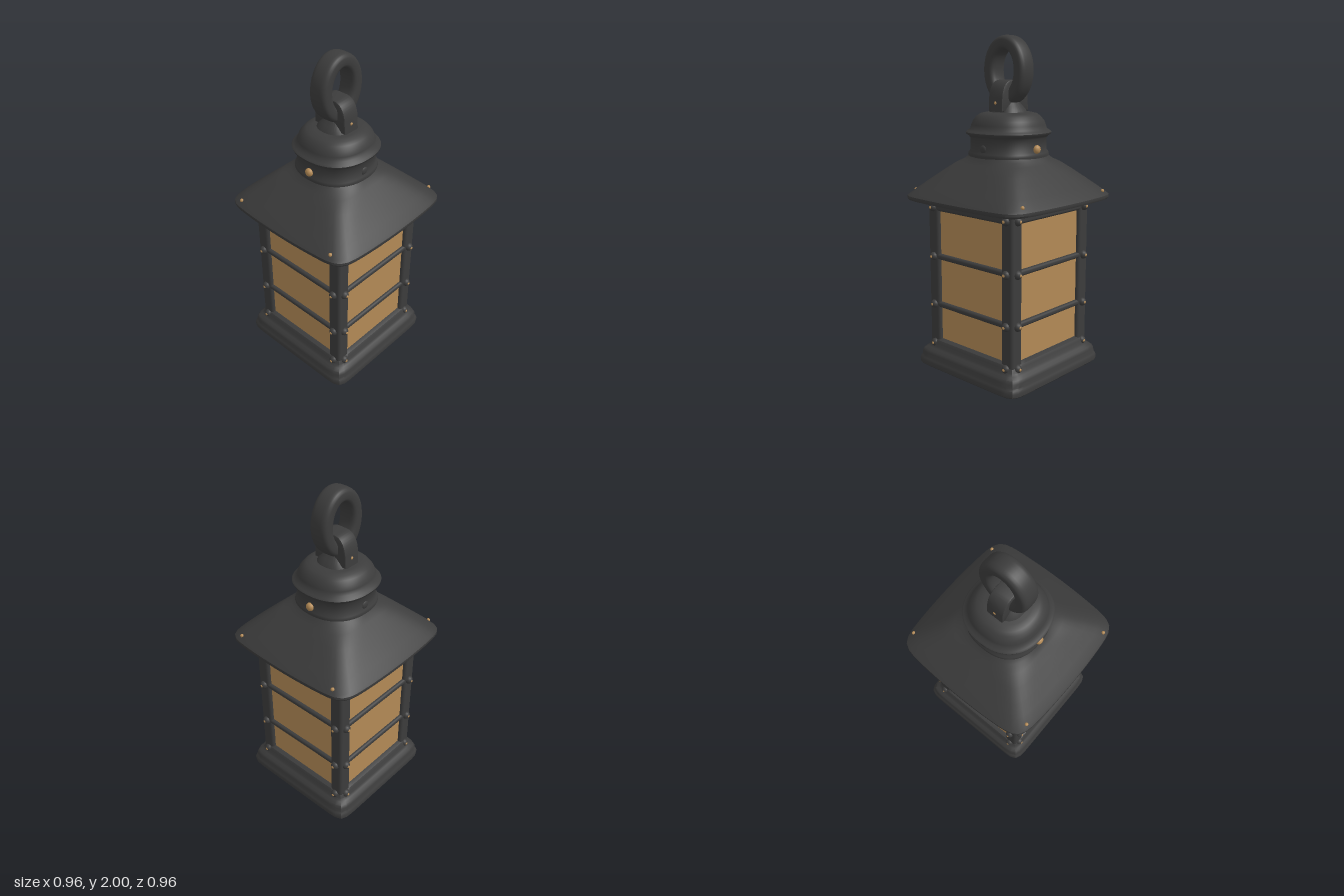
import * as THREE from 'three';
import { RoundedBoxGeometry } from 'three/addons/geometries/RoundedBoxGeometry.js';
import { mergeVertices, toCreasedNormals } from 'three/addons/utils/BufferGeometryUtils.js';

// Signed power, used for squarish sections
const spow = (v, p) => Math.sign(v) * Math.pow(Math.abs(v), p);

// Closed loft of rounded squares; each ring is [y, half width, exponent, outward bow of the sides]
function loft(rings, crease = 0.6, seg = 96) {
  const pos = [], idx = [];
  for (const [y, half, n, bow = 0] of rings) {
    const r = half - bow;
    for (let i = 0; i < seg; i++) {
      const a = (i / seg) * Math.PI * 2;
      const c = Math.cos(a), s = Math.sin(a);
      const k = Math.pow(Math.abs(c) ** n + Math.abs(s) ** n, -1 / n);
      const x = c * k, z = s * k;
      pos.push(x * (r + bow * (1 - z * z)), y, z * (r + bow * (1 - x * x)));
    }
  }
  for (let j = 0; j < rings.length - 1; j++) {
    for (let i = 0; i < seg; i++) {
      const a = j * seg + i, b = j * seg + (i + 1) % seg;
      idx.push(a, a + seg, b, b, a + seg, b + seg);
    }
  }
  // Bottom and top caps
  const last = (rings.length - 1) * seg, centre = pos.length / 3;
  pos.push(0, rings[0][0], 0, 0, rings[rings.length - 1][0], 0);
  for (let i = 0; i < seg; i++) {
    const k = (i + 1) % seg;
    idx.push(centre, i, k, centre + 1, last + k, last + i);
  }
  const g = new THREE.BufferGeometry();
  g.setAttribute('position', new THREE.Float32BufferAttribute(pos, 3));
  g.setIndex(idx);
  return toCreasedNormals(g, crease);
}

// Oval hanging ring with a squarish, softened section
function ringGeometry() {
  let g = new THREE.TorusGeometry(0.118, 0.042, 24, 64);
  const p = g.attributes.position, uv = g.attributes.uv;
  for (let i = 0; i < p.count; i++) {
    const u = uv.getX(i) * Math.PI * 2, v = uv.getY(i) * Math.PI * 2;
    const d = 0.042 * spow(Math.cos(v), 0.7);
    p.setXYZ(i, (0.118 + d) * Math.cos(u), (0.158 + d) * Math.sin(u), 0.061 * spow(Math.sin(v), 0.6));
  }
  g.deleteAttribute('uv');
  g.deleteAttribute('normal');
  g = mergeVertices(g, 1e-5);
  g.computeVertexNormals();
  return g;
}

export function createModel() {
  const iron = new THREE.MeshStandardMaterial({ color: 0x3c3c3c });
  iron.name = 'dark iron';
  const amber = new THREE.MeshStandardMaterial({ color: 0xb38a56 });
  amber.name = 'amber glass';

  const lantern = new THREE.Group();
  lantern.name = 'lantern';
  const add = (name, geo, mat, x = 0, y = 0, z = 0, parent = lantern) => {
    const m = new THREE.Mesh(geo, mat);
    m.name = name;
    m.position.set(x, y, z);
    parent.add(m);
    return m;
  };

  // Stepped base
  add('base', loft([
    [0, 0.402, 14], [0.008, 0.41, 14], [0.03, 0.411, 14], [0.045, 0.406, 14], [0.055, 0.4, 14],
    [0.08, 0.398, 14], [0.097, 0.39, 14], [0.11, 0.373, 14], [0.122, 0.363, 14], [0.145, 0.357, 14],
    [0.16, 0.348, 14], [0.17, 0.325, 14],
  ]), iron);

  // Glass body, set just behind the frame
  add('glass', new THREE.BoxGeometry(0.644, 0.88, 0.644), amber, 0, 0.59, 0);

  // Corner posts
  const postGeo = new RoundedBoxGeometry(0.088, 0.93, 0.088, 3, 0.02);
  for (const x of [-1, 1]) for (const z of [-1, 1]) {
    add('cornerPost', postGeo, iron, x * 0.3, 0.585, z * 0.3);
  }

  // Horizontal bars and the band under the roof
  const barGeo = new RoundedBoxGeometry(0.684, 0.036, 0.684, 3, 0.016);
  for (const y of [0.39, 0.692]) add('crossBar', barGeo, iron, 0, y, 0);
  add('topBand', new RoundedBoxGeometry(0.684, 0.1, 0.684, 3, 0.016), iron, 0, 1.023, 0);

  // Rivets with small amber tips on all four faces
  const rivetGeo = new THREE.SphereGeometry(0.026, 14, 10);
  const tipGeo = new THREE.SphereGeometry(0.011, 10, 8);
  for (let f = 0; f < 4; f++) {
    const face = new THREE.Group();
    face.name = 'rivetFace';
    face.rotation.y = f * Math.PI / 2;
    lantern.add(face);
    for (const x of [-0.298, 0.298]) for (const y of [0.14, 0.39, 0.692, 0.995]) {
      add('rivet', rivetGeo, iron, x, y, 0.343, face);
      add('rivetTip', tipGeo, amber, x, y, 0.361, face);
    }
  }

  // Hipped roof with bowed eaves, a thin rim and a slightly raised soffit
  add('roof', loft([
    [1.058, 0.335, 14], [1.04, 0.435, 12, 0.02], [1.036, 0.46, 12, 0.024], [1.04, 0.474, 12, 0.026],
    [1.05, 0.479, 12, 0.026], [1.064, 0.478, 12, 0.026], [1.077, 0.466, 12, 0.025],
    [1.12, 0.418, 11, 0.02], [1.17, 0.362, 9, 0.015], [1.22, 0.306, 7, 0.01], [1.262, 0.258, 4.5],
    [1.285, 0.233, 3], [1.305, 0.221, 2.5], [1.33, 0.2, 2.4],
  ]), iron);

  // Small amber nails near the roof corners
  for (const x of [-1, 1]) for (const z of [-1, 1]) {
    add('roofNail', tipGeo, amber, x * 0.432, 1.09, z * 0.36);
  }

  // Collar, rounded lip and dome
  add('chimneyCap', loft([
    [1.28, 0.22, 2.4], [1.31, 0.227, 2.4], [1.325, 0.224, 2.4], [1.338, 0.216, 2.35], [1.41, 0.216, 2.3],
    [1.422, 0.226, 2.3], [1.432, 0.24, 2.3], [1.442, 0.243, 2.3], [1.451, 0.235, 2.3], [1.462, 0.217, 2.3],
    [1.485, 0.211, 2.3], [1.51, 0.201, 2.3], [1.535, 0.183, 2.2], [1.55, 0.163, 2.2], [1.558, 0.13, 2.1],
  ], 0.9), iron);

  // Studs on the collar: amber on the sides, iron front and back
  const studGeo = new THREE.SphereGeometry(0.025, 14, 10);
  for (const s of [-1, 1]) {
    add('sideStud', studGeo, amber, s * 0.222, 1.352, 0).scale.x = 0.8;
    add('collarStud', studGeo, iron, 0, 1.352, s * 0.213).scale.z = 0.4;
  }

  // Foot of the hanger
  add('hangerFoot', loft([
    [1.55, 0.108, 2.4], [1.57, 0.098, 2.4], [1.59, 0.082, 2.4], [1.615, 0.062, 2.4],
  ]), iron);

  // Arched strap that holds the ring
  const arch = new THREE.Shape();
  arch.moveTo(-0.108, 1.57);
  arch.lineTo(0.108, 1.57);
  arch.lineTo(0.105, 1.64);
  arch.bezierCurveTo(0.1, 1.7, 0.075, 1.737, 0.03, 1.737);
  arch.lineTo(-0.03, 1.737);
  arch.bezierCurveTo(-0.075, 1.737, -0.1, 1.7, -0.105, 1.64);
  arch.closePath();
  const strapGeo = new THREE.ExtrudeGeometry(arch, {
    depth: 0.092, bevelEnabled: true, bevelSize: 0.007, bevelThickness: 0.009, bevelSegments: 2, curveSegments: 10,
  });
  strapGeo.translate(0, 0, -0.046);
  strapGeo.rotateY(Math.PI / 2);
  add('strap', toCreasedNormals(strapGeo, 0.7), iron);
  for (const s of [-1, 1]) add('strapPin', tipGeo, amber, 0, 1.612, s * 0.108);

  // Hanging ring
  add('hangingRing', ringGeometry(), iron, 0, 1.8, 0);

  return lantern;
}
